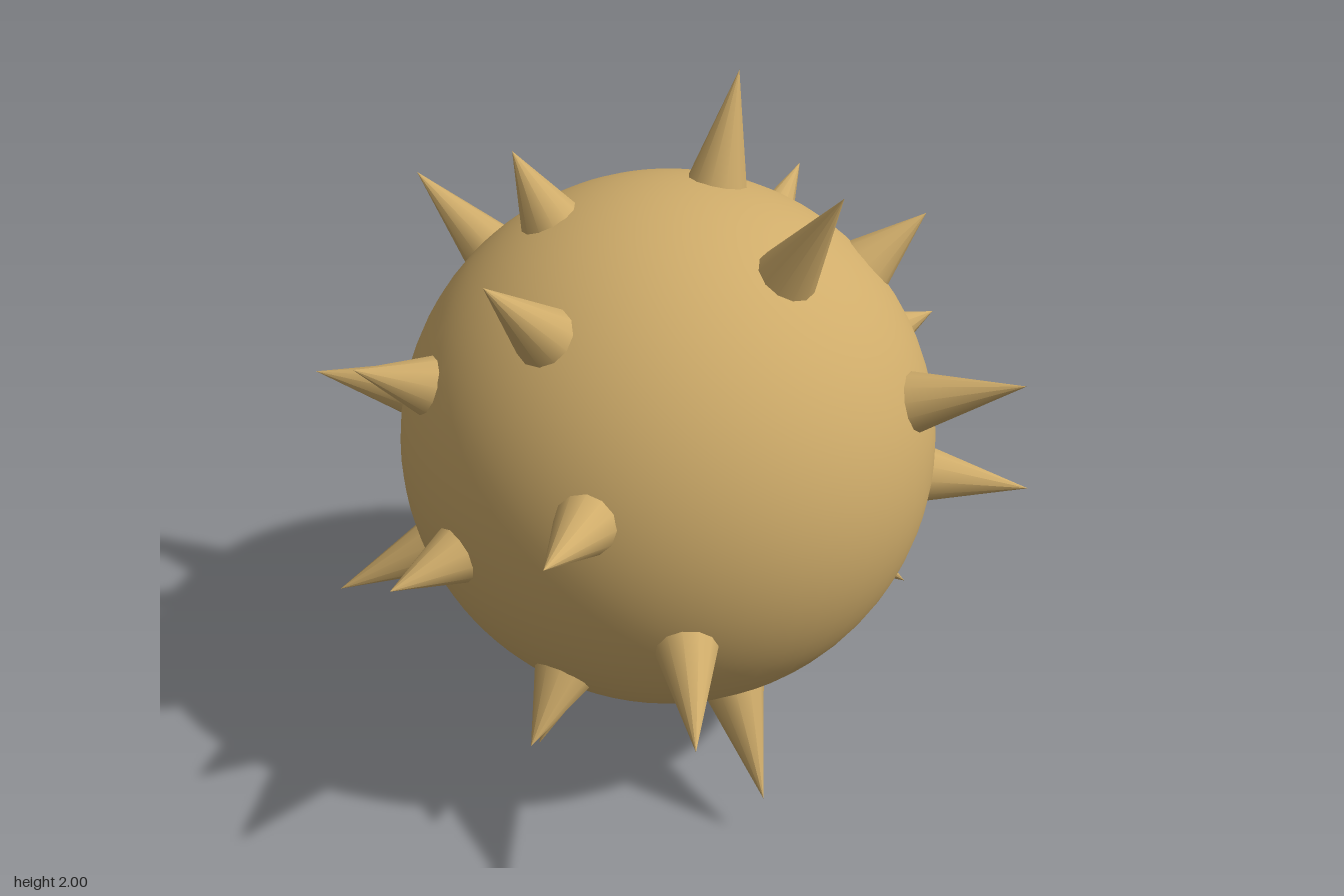
import * as THREE from 'three';

const CENTER = new THREE.Vector3(0.0145, 0.967, -0.021);
const BODY_RADIUS = 0.764;
const SPIKE_BASE = 0.745; // spike bases sit slightly inside the body
const LONG_TIP = 1.0665;
const SHORT_TIP = 0.968;
const SLOTS = 32;
const GOLDEN_ANGLE = Math.PI * (3 - Math.sqrt(5));

// Cone with its base at the origin, pointing up +y
function spikeGeometry(tip) {
  const height = tip - SPIKE_BASE;
  return new THREE.ConeGeometry(0.087, height, 12).translate(0, height / 2, 0);
}

export function createModel() {
  const model = new THREE.Group();
  model.name = 'spikyBall';

  const tan = new THREE.MeshStandardMaterial({ color: 0xcfac6a });
  tan.name = 'tan';

  // Round body
  const body = new THREE.Mesh(new THREE.SphereGeometry(BODY_RADIUS, 64, 40), tan);
  body.name = 'body';
  body.position.copy(CENTER);
  model.add(body);

  // Spikes on a golden-angle spiral: long, short, long, then an empty slot
  const longSpike = spikeGeometry(LONG_TIP);
  const shortSpike = spikeGeometry(SHORT_TIP);
  const up = new THREE.Vector3(0, 1, 0);
  const spikes = new THREE.Group();
  spikes.name = 'spikes';
  for (let i = 0; i < SLOTS; i++) {
    if (i % 4 === 3) continue;
    const y = 1 - (2 * i + 1) / SLOTS;
    const r = Math.sqrt(1 - y * y);
    const angle = i * GOLDEN_ANGLE;
    const direction = new THREE.Vector3(r * Math.cos(angle), y, -r * Math.sin(angle));
    const isShort = i % 4 === 1;
    const spike = new THREE.Mesh(isShort ? shortSpike : longSpike, tan);
    spike.name = isShort ? 'shortSpike' : 'longSpike';
    spike.position.copy(CENTER).addScaledVector(direction, SPIKE_BASE);
    spike.quaternion.setFromUnitVectors(up, direction);
    spikes.add(spike);
  }
  model.add(spikes);

  return model;
}
